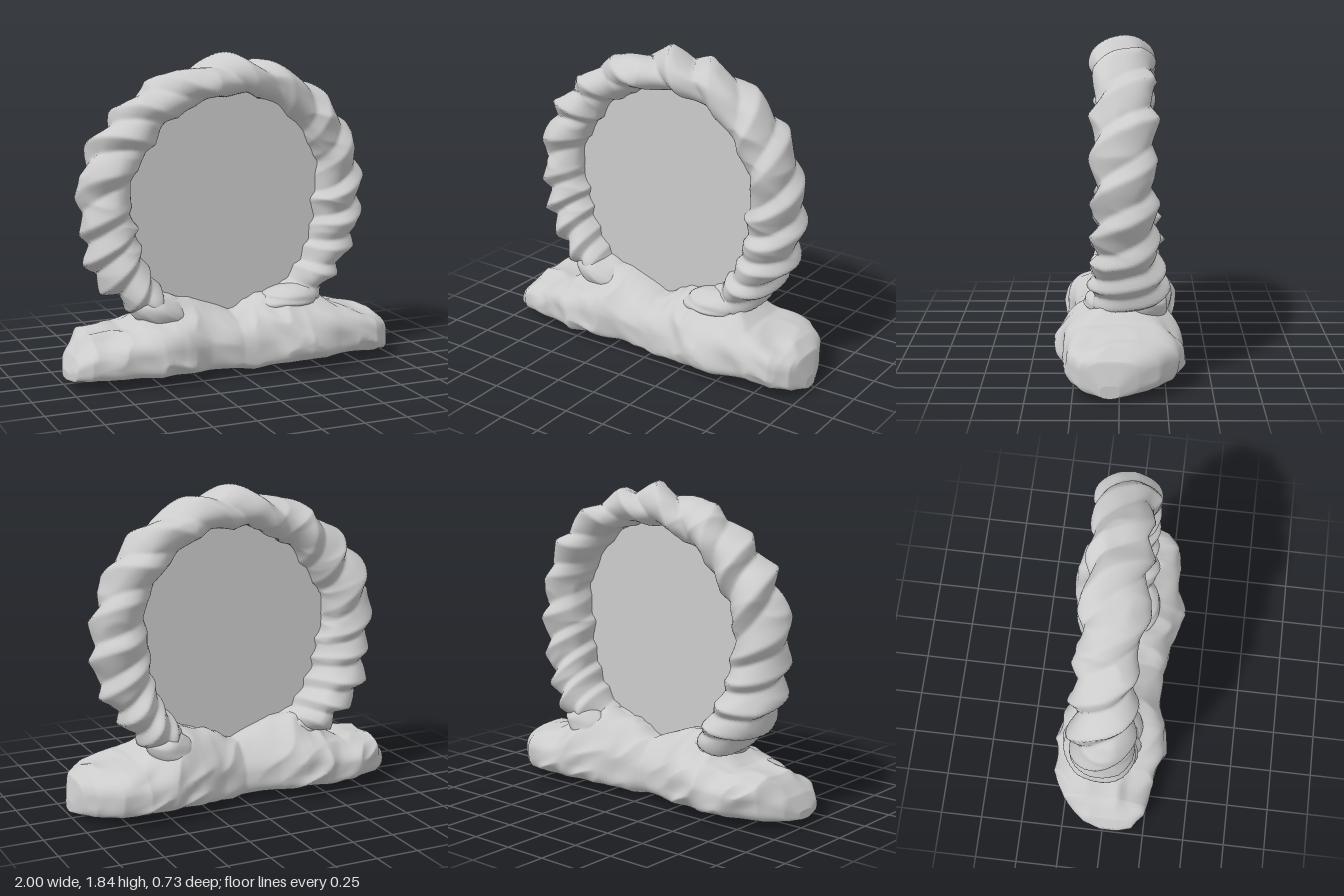
import * as THREE from 'three';

const { lerp, smoothstep } = THREE.MathUtils;
const stone = new THREE.MeshStandardMaterial({ color: 0xcccccc });

// Smooth value noise in the range -1..1
function hash(x, y, z) {
  let h = Math.imul(x, 374761393) ^ Math.imul(y, 668265263) ^ Math.imul(z, 1274126177);
  h = Math.imul(h ^ (h >>> 13), 1103515245);
  return ((h ^ (h >>> 16)) >>> 0) / 2147483648 - 1;
}
function noise(px, py, pz) {
  const f = [px, py, pz].map(Math.floor);
  const [u, v, w] = [px - f[0], py - f[1], pz - f[2]].map(t => t * t * (3 - 2 * t));
  const h = (a, b, c) => hash(f[0] + a, f[1] + b, f[2] + c);
  const row = (b, c) => lerp(h(0, b, c), h(1, b, c), u);
  return lerp(lerp(row(0, 0), row(1, 0), v), lerp(row(0, 1), row(1, 1), v), w);
}
// Rocky displacement: broad lumps plus chiselled creases
const rocky = (p) => noise(p.x * 4, p.y * 5, p.z * 4) * 0.5
  + (0.4 - Math.abs(noise(p.x * 5 + 7, p.y * 9 + p.x * 4, p.z * 6))) * 0.7;

// Value at x in a table of [x, value] pairs
function sample(table, x) {
  for (let i = 1; i < table.length; i++) {
    const [x0, a] = table[i - 1], [x1, b] = table[i];
    if (x <= x1) return lerp(a, b, (x - x0) / (x1 - x0));
  }
  return table[table.length - 1][1];
}

// Surface of loops: v always wraps, u wraps when closed
function loopSurface(nu, nv, closed, point) {
  const pos = [], index = [], rows = closed ? nu : nu + 1;
  for (let i = 0; i < rows; i++)
    for (let j = 0; j < nv; j++) pos.push(...point(i / nu, (j / nv) * Math.PI * 2).toArray());
  for (let i = 0; i < nu; i++)
    for (let j = 0; j < nv; j++) {
      const k = (i + 1) % rows, l = (j + 1) % nv;
      const a = i * nv + j, b = k * nv + j, c = k * nv + l, d = i * nv + l;
      index.push(a, b, c, a, c, d);
    }
  const geo = new THREE.BufferGeometry();
  geo.setAttribute('position', new THREE.Float32BufferAttribute(pos, 3));
  geo.setIndex(index);
  geo.computeVertexNormals();
  return geo;
}

// Outer and inner radius of the ring by angle in degrees
const outer = [[0, 0.86], [20, 0.88], [35, 0.88], [50, 0.865], [70, 0.855], [90, 0.83], [110, 0.81], [130, 0.84],
  [145, 0.84], [160, 0.87], [175, 0.86], [190, 0.85], [205, 0.88], [222, 0.82], [270, 0.78], [315, 0.83],
  [330, 0.845], [345, 0.865], [360, 0.86]];
const inner = [[0, 0.56], [20, 0.62], [45, 0.645], [90, 0.615], [110, 0.595], [130, 0.6], [145, 0.575], [160, 0.585],
  [175, 0.585], [190, 0.55], [205, 0.57], [222, 0.605], [270, 0.66], [300, 0.62], [323, 0.615], [343, 0.575], [360, 0.56]];

// Ring with two strands of stone twisting around it, stretched out over the top
function ringPoint(u, psi) {
  const t = u * Math.PI * 2, c = Math.cos(t), s = Math.sin(t);
  const cp = Math.cos(psi), sp = Math.sin(psi);
  const ro = sample(outer, u * 360), ri = sample(inner, u * 360);
  const p = new THREE.Vector3(c * (0.72 + 0.1 * cp), s * (0.72 + 0.1 * cp), sp * 0.15);
  const wobble = noise(p.x * 3, p.y * 3, p.z * 3 + 5);
  const phase = psi / Math.PI + 24 * u + 1.4 * c + 0.6 + wobble * 0.2;
  const saw = phase - Math.floor(phase);
  const ridge = saw < 0.65 ? saw / 0.65 : (1 - saw) / 0.35;
  // ridges fade on the inside and underneath
  const buried = smoothstep(-s, 0.7, 0.9);
  const depth = lerp(0.065, 0.03, smoothstep(-cp, -0.1, 0.9)) * (0.9 + 0.3 * wobble) * (1 - 0.8 * buried);
  const grow = (ridge - 0.5) * depth + rocky(p) * 0.025;
  // the feet swell mostly to the back, the crown leans forward
  const foot = smoothstep(-s, 0.2, 0.6) * (1 - buried);
  const crown = smoothstep(s, 0.85, 1) * Math.max(sp, 0) * 0.02;
  const r = (ro + ri) / 2 + ((ro - ri) / 2 + grow) * cp;
  const z = -0.025 - 0.02 * foot + (0.165 + 0.04 * foot - 0.07 * buried + grow) * sp + crown;
  return new THREE.Vector3(-0.015 + r * c, 0.975 + r * s, z);
}

// Base outline seen from above, and its height along x
const front = [[-1, 0.1], [-0.98, 0.18], [-0.9, 0.25], [-0.75, 0.28], [-0.5, 0.33], [-0.35, 0.32], [-0.2, 0.27], [0, 0.24],
  [0.2, 0.29], [0.4, 0.36], [0.6, 0.32], [0.85, 0.29], [0.95, 0.22], [1, 0.1]];
const back = [[-1, -0.02], [-0.97, -0.12], [-0.87, -0.25], [-0.7, -0.32], [-0.5, -0.35], [-0.35, -0.32], [-0.2, -0.25],
  [0, -0.2], [0.15, -0.24], [0.3, -0.31], [0.5, -0.36], [0.65, -0.37], [0.8, -0.32], [0.92, -0.2], [0.97, -0.1], [1, 0]];
const top = [[-1, 0.1], [-0.96, 0.18], [-0.86, 0.28], [-0.6, 0.3], [-0.4, 0.34], [-0.2, 0.32], [0, 0.27], [0.2, 0.33],
  [0.4, 0.36], [0.6, 0.33], [0.75, 0.31], [0.9, 0.27], [0.97, 0.22], [1, 0.1]];
const bottom = [[-1, 0.05], [-0.8, 0.04], [-0.1, 0.03], [0.08, 0.005], [0.25, 0.03], [0.7, 0.04], [1, 0.03]];
// Mound that climbs into the feet of the ring
const mound = [[-0.65, 0], [-0.5, 0.1], [-0.35, 0.13], [-0.2, 0.1], [0, 0.06], [0.2, 0.1], [0.35, 0.11], [0.5, 0.1], [0.65, 0]];

function basePoint(u, v) {
  const x = -Math.cos(u * Math.PI);
  const zf = sample(front, x), zb = sample(back, x), yt = sample(top, x), yb = sample(bottom, x);
  const shape = (t) => Math.sign(t) * Math.pow(Math.abs(t), 0.6);
  const end = u === 0 || u === 1 ? 0 : 1;
  const cy = shape(Math.sin(v)) * end, cz = shape(Math.cos(v)) * end;
  const p = new THREE.Vector3(x, lerp(yb, yt, 0.5 + cy / 2), lerp(zb, zf, 0.5 + cz / 2));
  const k = rocky(p) * 0.05 * end * (1 - smoothstep(Math.abs(x), 0.85, 1));
  const rise = Math.abs(x) < 0.65 ? sample(mound, x) : 0;
  // slanted towards the top, flat underneath
  p.z *= 1 - 0.12 * smoothstep(p.y, 0.18, 0.36);
  if (cy > 0) p.y += k * cy + rise * cy * Math.exp(-(((p.z + 0.03) / 0.19) ** 2));
  p.z += k * cz;
  return p;
}

// Loose boulder: a sphere pushed about by the rock noise
function boulder(name, [x, y, z], [sx, sy, sz], tilt) {
  const geo = new THREE.SphereGeometry(1, 48, 32);
  const at = geo.attributes.position, p = new THREE.Vector3(), q = new THREE.Vector3();
  for (let i = 0; i < at.count; i++) {
    p.fromBufferAttribute(at, i);
    q.copy(p).multiplyScalar(0.2).addScalar(x + 2);
    p.multiplyScalar(1 + 0.2 * rocky(q));
    at.setXYZ(i, p.x * sx, p.y * sy, p.z * sz);
  }
  geo.computeVertexNormals();
  const mesh = new THREE.Mesh(geo, stone);
  mesh.name = name;
  mesh.position.set(x, y, z);
  mesh.rotation.z = tilt;
  return mesh;
}

export function createModel() {
  const model = new THREE.Group();
  model.name = 'stoneRingGate';
  const add = (name, geo, mat = stone) => {
    const mesh = new THREE.Mesh(geo, mat);
    mesh.name = name;
    model.add(mesh);
    return mesh;
  };

  add('twistedRing', loopSurface(480, 60, true, ringPoint));
  add('rockBase', loopSurface(240, 120, false, basePoint));

  // Thin sheet filling the opening
  const sheet = new THREE.MeshStandardMaterial({ color: 0xcccccc, side: THREE.DoubleSide });
  add('portalSheet', new THREE.CircleGeometry(0.66, 64), sheet).position.set(-0.015, 0.97, 0.01);

  // Rocks where the ring grows out of the base
  model.add(
    boulder('rightRootRock', [-0.42, 0.38, 0.0], [0.2, 0.1, 0.17], -0.35),
    boulder('leftRootRock', [0.37, 0.39, 0.03], [0.21, 0.085, 0.17], 0.1),
    boulder('leftBackRootRock', [0.45, 0.38, -0.14], [0.16, 0.1, 0.13], 0.4),
  );
  return model;
}
